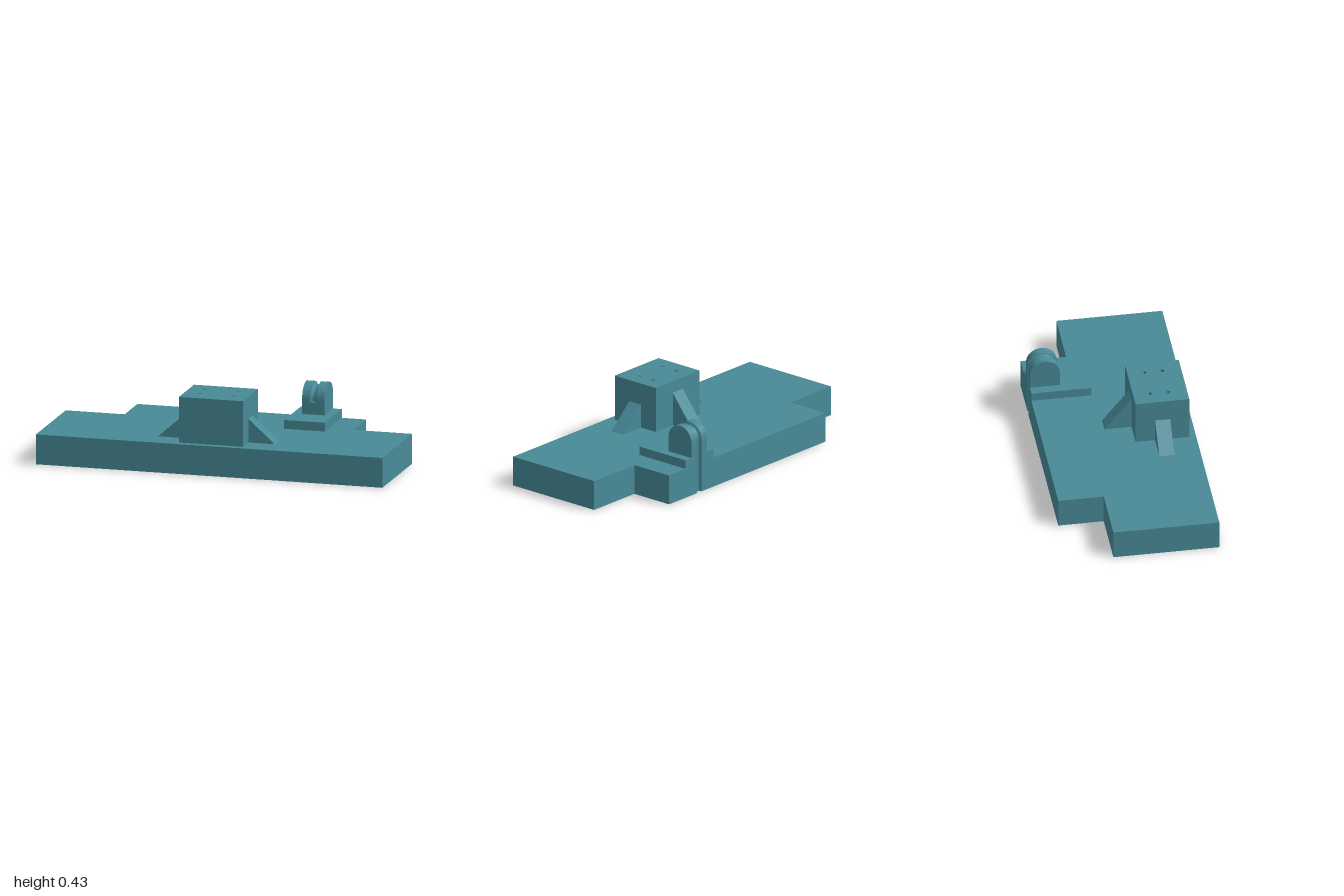
import * as THREE from 'three';
import { toCreasedNormals } from 'three/addons/utils/BufferGeometryUtils.js';

const BASE_TOP = 0.17, PAD_TOP = 0.22;
const LUG_X = 0.405, LUG_Z = -0.34, LUG_R = 0.085, LUG_HALF = 0.065;
const DOME_Y = 0.305, GROOVE = 0.018, BACK = 0.425;

export function createModel() {
  const group = new THREE.Group();
  group.name = 'fixturePlate';
  const teal = new THREE.MeshStandardMaterial({ color: 0x488a97 });
  teal.name = 'teal';

  const add = (name, geometry) => {
    const mesh = new THREE.Mesh(geometry, teal);
    mesh.name = name;
    group.add(mesh);
    return mesh;
  };

  // Upright prism from a plan outline given as [x, -z]
  const prism = (outline, y0, y1, holes = []) => {
    const toVectors = (pts) => pts.map(([x, y]) => new THREE.Vector2(x, y));
    const shape = new THREE.Shape(toVectors(outline));
    holes.forEach((h) => shape.holes.push(new THREE.Path(toVectors(h))));
    const g = new THREE.ExtrudeGeometry(shape, { depth: y1 - y0, bevelEnabled: false });
    g.rotateX(-Math.PI / 2);
    g.translate(0, y0, 0);
    return toCreasedNormals(g, 0.6);
  };

  // Rounded channel cut into a plan edge; side 1 is the back, -1 the front
  const notch = (edge, side) => Array.from({ length: 13 }, (_, i) => {
    const a = (i / 12) * Math.PI;
    return [LUG_X + side * GROOVE * Math.cos(a), edge - side * GROOVE * Math.sin(a)];
  });
  const cableNotch = notch(BACK, 1);

  // Stepped base plate
  add('base', prism([
    [-1, -0.425], [1, -0.425], [1, 0.17], [0.66, 0.17], [0.66, BACK],
    ...cableNotch, [-0.66, BACK], [-0.66, 0.17], [-1, 0.17],
  ], 0, BASE_TOP));

  // Mounting block with four small drilled holes
  const holes = [-0.1, 0.1].flatMap((x) => [-0.18, -0.28].map((y) => {
    const r = 0.015;
    return [[x + r, y], [x, y - r], [x - r, y], [x, y + r]];
  }));
  add('mountingBlock', prism(
    [[-0.185, -0.387], [0.185, -0.387], [0.185, -0.085], [-0.185, -0.085]],
    BASE_TOP, 0.43, holes));

  // Triangular ribs bracing the block
  const rib = (name, run, rise, thick, position, turn) => {
    const shape = new THREE.Shape([
      new THREE.Vector2(0, 0), new THREE.Vector2(run, 0), new THREE.Vector2(0, rise),
    ]);
    const g = new THREE.ExtrudeGeometry(shape, { depth: thick, bevelEnabled: false });
    g.translate(0, 0, -thick / 2);
    const mesh = add(name, g);
    mesh.position.set(...position);
    mesh.rotation.y = turn;
  };
  rib('leftRib', 0.152, 0.135, 0.085, [0.185, BASE_TOP, 0.237], 0);
  rib('rightRib', 0.152, 0.135, 0.085, [-0.185, BASE_TOP, 0.237], Math.PI);
  rib('backRib', 0.152, 0.192, 0.085, [0, BASE_TOP, 0.085], Math.PI / 2);

  // Pad under the cable guide
  add('guidePad', prism([
    [0.285, 0.087], [0.52, 0.087], [0.52, BACK], ...cableNotch, [0.285, BACK],
  ], BASE_TOP, PAD_TOP));

  // Lower body of the guide; the front groove stops short of the pad
  const x0 = LUG_X - LUG_HALF, x1 = LUG_X + LUG_HALF, front = -LUG_Z - LUG_R;
  const lugBack = [[x1, front], [x1, BACK], ...cableNotch, [x0, BACK], [x0, front]];
  add('guideBody', prism(lugBack, PAD_TOP, 0.29));
  add('guideNeck', prism([...lugBack, ...notch(front, -1)], 0.29, DOME_Y));

  // Grooved half-round top of the guide
  const profile = [[0, -LUG_HALF], [LUG_R, -LUG_HALF]];
  for (let i = 0; i <= 12; i++) {
    const a = (i / 12) * Math.PI;
    profile.push([LUG_R - GROOVE * Math.sin(a), -GROOVE * Math.cos(a)]);
  }
  profile.push([LUG_R, LUG_HALF], [0, LUG_HALF]);
  const dome = new THREE.LatheGeometry(
    profile.map(([r, y]) => new THREE.Vector2(r, y)), 32, Math.PI, Math.PI);
  dome.rotateZ(-Math.PI / 2);
  add('guideDome', toCreasedNormals(dome, 0.6)).position.set(LUG_X, DOME_Y, LUG_Z);

  return group;
}
